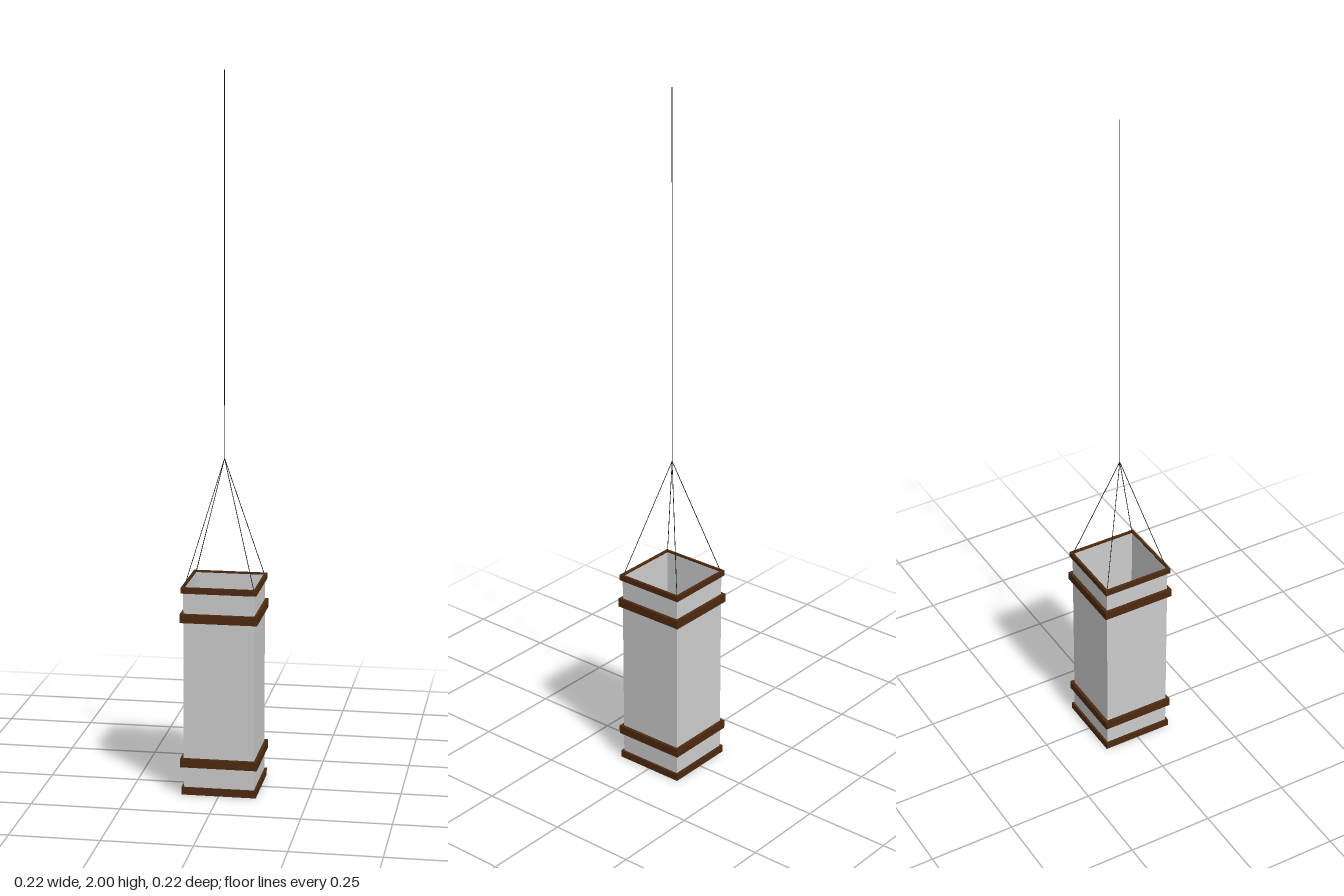
import * as THREE from 'three';

const grey = new THREE.MeshStandardMaterial({ color: 0xcccccc, side: THREE.DoubleSide });
const wood = new THREE.MeshStandardMaterial({ color: 0x4d2a10 });
const tan = new THREE.MeshStandardMaterial({ color: 0xc8ad88 });
const black = new THREE.MeshStandardMaterial({ color: 0x111111 });

function add(group, name, geometry, material) {
  const mesh = new THREE.Mesh(geometry, material);
  mesh.name = name;
  group.add(mesh);
  return mesh;
}

// Flat outline raised from y0 to y1
function slab(shape, y0, y1) {
  return new THREE.ExtrudeGeometry(shape, { depth: y1 - y0, bevelEnabled: false })
    .rotateX(-Math.PI / 2).translate(0, y0, 0);
}

const square = (h) => [[-h, -h], [h, -h], [h, h], [-h, h]].map(([x, y]) => new THREE.Vector2(x, y));

// Hollow square ring, given half widths
function ring(outer, inner, y0, y1) {
  const shape = new THREE.Shape(square(outer));
  shape.holes.push(new THREE.Path(square(inner).reverse()));
  return slab(shape, y0, y1);
}

// Thin round cord between two points
function cord(a, b) {
  return new THREE.TubeGeometry(new THREE.LineCurve3(a, b), 1, 0.001, 6, false);
}

export function createModel() {
  const lantern = new THREE.Group();
  lantern.name = 'hangingLantern';

  // Open square paper shade
  add(lantern, 'shade', ring(0.099, 0.097, 0.004, 0.59), grey);

  // Wooden rims at both ends and two wider bands
  const bands = [
    ['bottomRim', 0.105, 0, 0.021],
    ['lowerBand', 0.108, 0.08, 0.105],
    ['upperBand', 0.108, 0.495, 0.52],
    ['topRim', 0.105, 0.578, 0.595],
  ];
  for (const [name, half, y0, y1] of bands) add(lantern, name, ring(half, 0.0975, y0, y1), wood);

  // Twelve-sided holder inside, with an arm drawn out of every third side
  const outline = [];
  for (let i = 0; i < 4; i++) {
    const turn = i * Math.PI / 2;
    for (const [x, y] of [[0.05, -0.0135], [0.09, -0.0115], [0.09, 0.0115], [0.05, 0.0135], [0.0366, 0.0366]]) {
      outline.push(new THREE.Vector2(x, y).rotateAround(new THREE.Vector2(), turn));
    }
  }
  add(lantern, 'innerHolder', slab(new THREE.Shape(outline), 0.29, 0.31), tan);

  // Four corner cords meeting at a knot, and the long cord above it
  const apex = new THREE.Vector3(0, 0.94, 0);
  for (const x of [-1, 1]) for (const z of [-1, 1]) {
    add(lantern, 'cornerCord', cord(new THREE.Vector3(x * 0.098, 0.59, z * 0.098), apex), black);
  }
  add(lantern, 'hangingCord', cord(apex, new THREE.Vector3(0, 2, 0)), black);

  return lantern;
}
